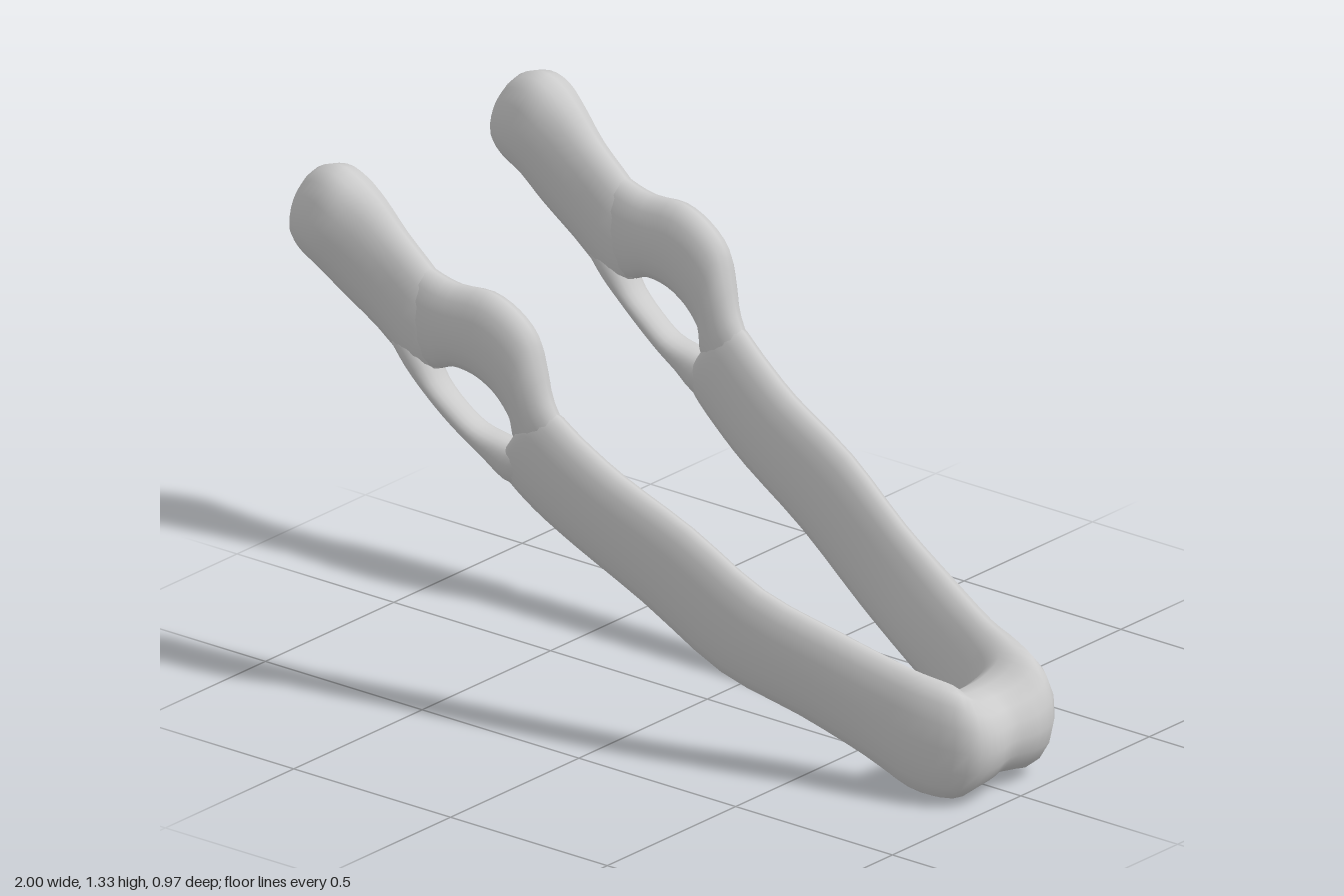
import * as THREE from 'three';

const material = new THREE.MeshStandardMaterial({ color: 0xcccccc });
const SIDES = 16;
const SIDE = Math.PI / 2; // section facing sideways, as along the arms

// Station: [topX, topY, bottomX, bottomY, z, half thickness, yaw of the thickness axis]
const mirror = (stations) =>
  stations.map(([tx, ty, bx, by, z, w, a]) => [tx, ty, bx, by, -z, w, -a]).reverse();

// Smoothly interpolates one column of the stations
function spline(p0, p1, p2, p3, t) {
  const m1 = (p2 - p0) / 2, m2 = (p3 - p1) / 2;
  return p1 + m1 * t + (3 * (p2 - p1) - 2 * m1 - m2) * t * t + (2 * (p1 - p2) + m1 + m2) * t * t * t;
}

function refine(stations, steps) {
  const last = stations.length - 1;
  const at = (i) => stations[Math.min(last, Math.max(0, i))];
  const out = [];
  for (let i = 0; i < last; i++)
    for (let k = 0; k < steps; k++)
      out.push(at(i).map((v, c) => spline(at(i - 1)[c], v, at(i + 1)[c], at(i + 2)[c], k / steps)));
  out.push(stations[last]);
  return out;
}

// Lofts elliptical sections through the stations and closes both ends
function loft(name, stations) {
  const rings = refine(stations, 3);
  const pos = [], index = [];
  const centre = ([tx, ty, bx, by, z]) => [(tx + bx) / 2, (ty + by) / 2, z];
  for (const s of rings) {
    const [cx, cy, cz] = centre(s);
    const hx = (s[0] - s[2]) / 2, hy = (s[1] - s[3]) / 2;
    for (let j = 0; j < SIDES; j++) {
      const t = (j / SIDES) * Math.PI * 2;
      const u = Math.sign(Math.cos(t)) * Math.abs(Math.cos(t)) ** 0.9 * s[5];
      const v = Math.sin(t);
      pos.push(cx + u * Math.cos(s[6]) + v * hx, cy + v * hy, cz + u * Math.sin(s[6]));
    }
  }
  const n = rings.length;
  pos.push(...centre(rings[0]), ...centre(rings[n - 1]));
  for (let j = 0; j < SIDES; j++) {
    const k = (j + 1) % SIDES;
    for (let i = 0; i < n - 1; i++) {
      const a = i * SIDES + j, b = i * SIDES + k;
      index.push(a, b, a + SIDES, b, b + SIDES, a + SIDES);
    }
    index.push(n * SIDES, k, j);
    index.push(n * SIDES + 1, (n - 1) * SIDES + j, (n - 1) * SIDES + k);
  }
  const geometry = new THREE.BufferGeometry();
  geometry.setAttribute('position', new THREE.Float32BufferAttribute(pos, 3));
  geometry.setIndex(index);
  geometry.computeVertexNormals();
  const mesh = new THREE.Mesh(geometry, material);
  mesh.name = name;
  return mesh;
}

// Half of the U-shaped body, from the chin to the fork of the arm
const body = [
  [0.88, 0.265, 0.872, 0.02, 0.07, 0.122, 0.08],
  [0.885, 0.305, 0.855, 0.0, 0.125, 0.11, 0.38],
  [0.82, 0.328, 0.77, 0.015, 0.158, 0.076, 0.72],
  [0.74, 0.35, 0.65, 0.075, 0.178, 0.055, 1.2],
  [0.60, 0.40, 0.48, 0.15, 0.218, 0.053, 1.35],
  [0.40, 0.48, 0.28, 0.23, 0.275, 0.048, SIDE],
  [0.20, 0.605, 0.06, 0.37, 0.31, 0.048, SIDE],
  [0.00, 0.70, -0.14, 0.48, 0.335, 0.05, SIDE],
  [-0.12, 0.775, -0.25, 0.55, 0.352, 0.05, SIDE],
  [-0.20, 0.83, -0.325, 0.61, 0.362, 0.048, SIDE],
  [-0.26, 0.80, -0.35, 0.645, 0.368, 0.038, SIDE],
  [-0.29, 0.75, -0.35, 0.67, 0.37, 0.015, SIDE],
];

// Humped strand above the opening
const upperStrand = [
  [-0.14, 0.75, -0.24, 0.64, 0.356, 0.03, SIDE],
  [-0.20, 0.85, -0.305, 0.725, 0.363, 0.045, SIDE],
  [-0.225, 0.94, -0.31, 0.765, 0.367, 0.052, SIDE],
  [-0.25, 1.02, -0.32, 0.795, 0.37, 0.055, SIDE],
  [-0.31, 1.075, -0.36, 0.84, 0.372, 0.056, SIDE],
  [-0.39, 1.105, -0.42, 0.872, 0.375, 0.056, SIDE],
  [-0.49, 1.10, -0.49, 0.88, 0.378, 0.056, SIDE],
  [-0.57, 1.12, -0.56, 0.86, 0.38, 0.054, SIDE],
  [-0.63, 1.15, -0.64, 0.90, 0.38, 0.045, SIDE],
];

// Thin strand below the opening
const lowerStrand = [
  [-0.20, 0.74, -0.26, 0.60, 0.358, 0.025, SIDE],
  [-0.28, 0.725, -0.335, 0.617, 0.368, 0.042, SIDE],
  [-0.34, 0.732, -0.39, 0.66, 0.373, 0.045, SIDE],
  [-0.41, 0.745, -0.45, 0.70, 0.376, 0.042, SIDE],
  [-0.47, 0.782, -0.512, 0.745, 0.38, 0.042, SIDE],
  [-0.53, 0.835, -0.575, 0.80, 0.382, 0.046, SIDE],
  [-0.57, 0.905, -0.63, 0.85, 0.382, 0.05, SIDE],
  [-0.63, 0.97, -0.68, 0.90, 0.382, 0.04, SIDE],
];

// Swollen rounded end of the arm
const head = [
  [-0.51, 1.07, -0.535, 0.87, 0.378, 0.03, SIDE],
  [-0.57, 1.12, -0.595, 0.835, 0.38, 0.055, SIDE],
  [-0.66, 1.195, -0.72, 0.925, 0.382, 0.062, SIDE],
  [-0.73, 1.265, -0.82, 0.995, 0.388, 0.078, SIDE],
  [-0.79, 1.31, -0.89, 1.05, 0.395, 0.092, SIDE],
  [-0.85, 1.33, -0.95, 1.08, 0.395, 0.082, SIDE],
  [-0.92, 1.305, -0.985, 1.105, 0.393, 0.057, SIDE],
  [-0.97, 1.245, -0.998, 1.13, 0.39, 0.03, SIDE],
];

export function createModel() {
  const model = new THREE.Group();
  model.name = 'jawbone';
  const chin = [0.865, 0.25, 0.865, 0.028, 0, 0.115, 0];
  model.add(loft('body', [...mirror(body), chin, ...body]));

  // Forked ends of both arms
  const parts = { upperStrand, lowerStrand, head };
  for (const [endName, place] of [['frontArmEnd', (s) => s], ['backArmEnd', mirror]]) {
    const end = new THREE.Group();
    end.name = endName;
    for (const [name, stations] of Object.entries(parts)) end.add(loft(name, place(stations)));
    model.add(end);
  }
  return model;
}
